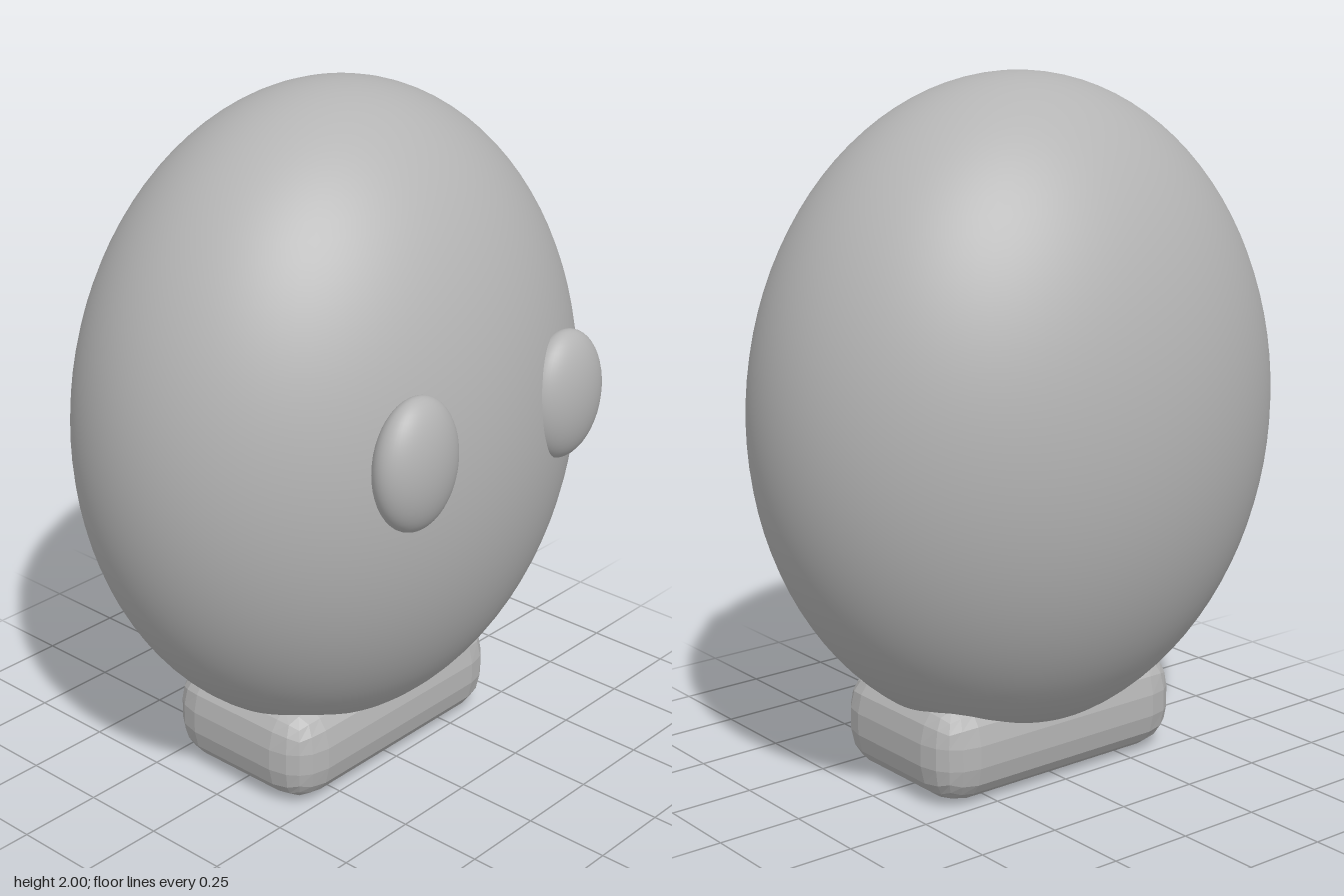
import * as THREE from 'three';
import { RoundedBoxGeometry } from 'three/addons/geometries/RoundedBoxGeometry.js';

export function createModel() {
  const model = new THREE.Group();
  model.name = 'eggHead';
  const grey = new THREE.MeshStandardMaterial({ color: 0xb4b4b4 });
  grey.name = 'grey';

  // Smooth ellipsoid from centre and radii
  function ellipsoid(name, centre, radii, segments) {
    const geometry = new THREE.SphereGeometry(1, segments, segments / 2);
    geometry.scale(...radii);
    const mesh = new THREE.Mesh(geometry, grey);
    mesh.name = name;
    mesh.position.set(...centre);
    model.add(mesh);
  }

  // Flattened egg-shaped head
  ellipsoid('head', [0, 1.06, -0.015], [0.8, 0.94, 0.635], 96);

  // Bulging oval eyes
  for (const side of [-1, 1]) {
    ellipsoid(side > 0 ? 'leftEye' : 'rightEye', [side * 0.312, 1.16, 0.567], [0.145, 0.187, 0.082], 48);
  }

  // Faceted, bevelled foot block that the head sinks into
  const baseGeometry = new RoundedBoxGeometry(0.88, 0.305, 0.54, 2, 0.12);
  baseGeometry.computeVertexNormals();
  const base = new THREE.Mesh(baseGeometry, grey);
  base.name = 'base';
  base.position.set(0, 0.1525, 0.003);
  model.add(base);

  return model;
}
